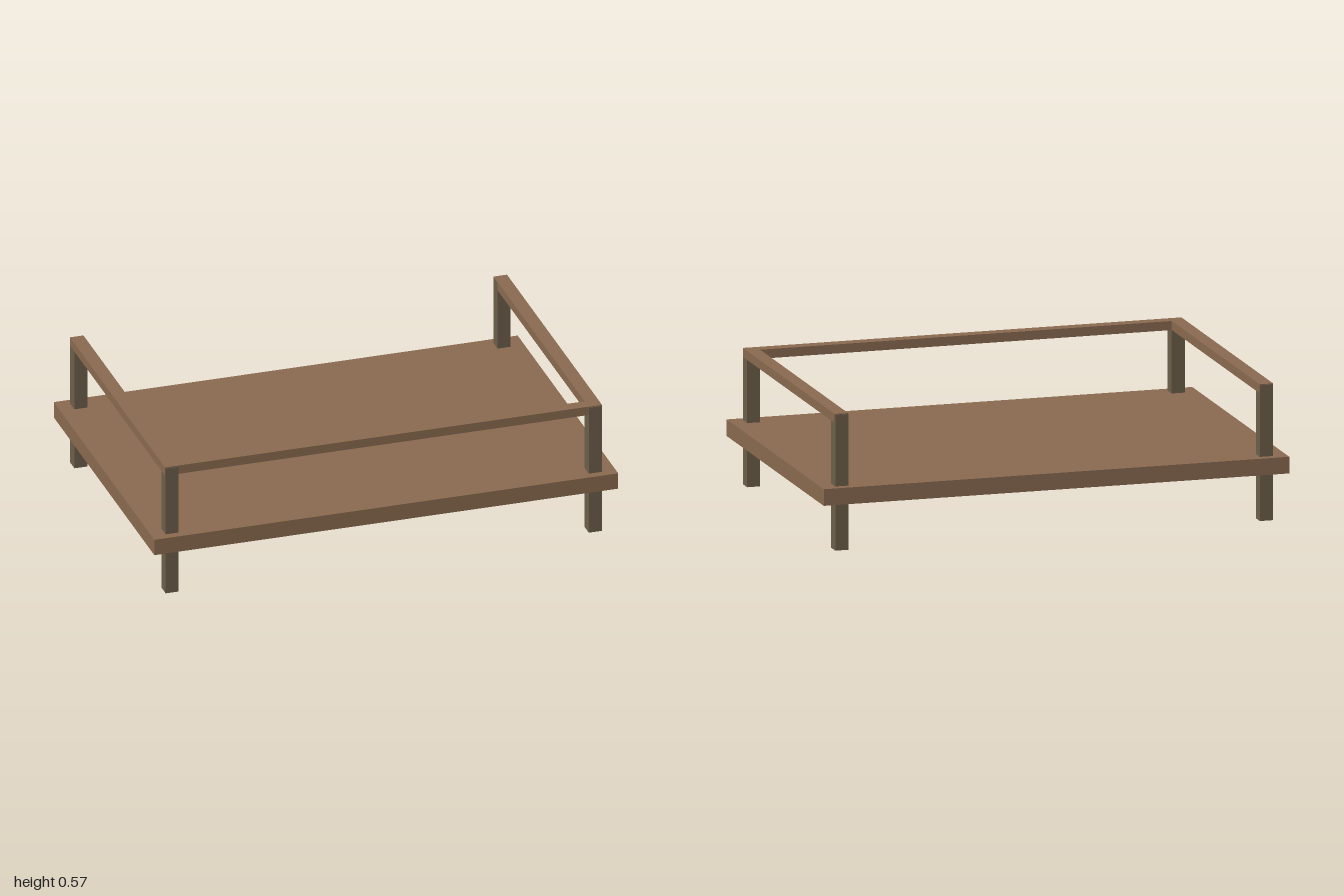
import * as THREE from 'three';

export function createModel() {
  const model = new THREE.Group();
  const wood = new THREE.MeshStandardMaterial({ color: 0x8b6a50 });
  wood.name = 'warm brown wood';
  const darkWood = new THREE.MeshStandardMaterial({ color: 0x6e5f4b });
  darkWood.name = 'grey brown wood';

  // Box given by its lower and upper corners
  function box(name, material, [x0, y0, z0], [x1, y1, z1]) {
    const mesh = new THREE.Mesh(new THREE.BoxGeometry(x1 - x0, y1 - y0, z1 - z0), material);
    mesh.position.set((x0 + x1) / 2, (y0 + y1) / 2, (z0 + z1) / 2);
    mesh.name = name;
    model.add(mesh);
  }

  // Platform
  box('platform', wood, [-1, 0.2, -0.67], [1, 0.27, 0.67]);

  // Corner posts, running from the floor through the platform up to the rails
  for (const [side, sx] of [['left', 1], ['right', -1]]) {
    for (const [end, sz] of [['front', 1], ['back', -1]]) {
      const x = sx * 0.912, z = sz * 0.608;
      box(`${end} ${side} post`, darkWood,
        [x - 0.028, 0, z - 0.028], [x + 0.028, 0.571, z + 0.028]);
    }
    // Side rail, just proud of the posts on its outer and upper faces
    const x = sx * 0.913;
    box(`${side} rail`, wood, [x - 0.029, 0.537, -0.633], [x + 0.029, 0.575, 0.633]);
  }

  // Front rail joining the side rails; the back stays open
  box('front rail', wood, [-0.884, 0.537, 0.58], [0.884, 0.575, 0.633]);

  return model;
}
